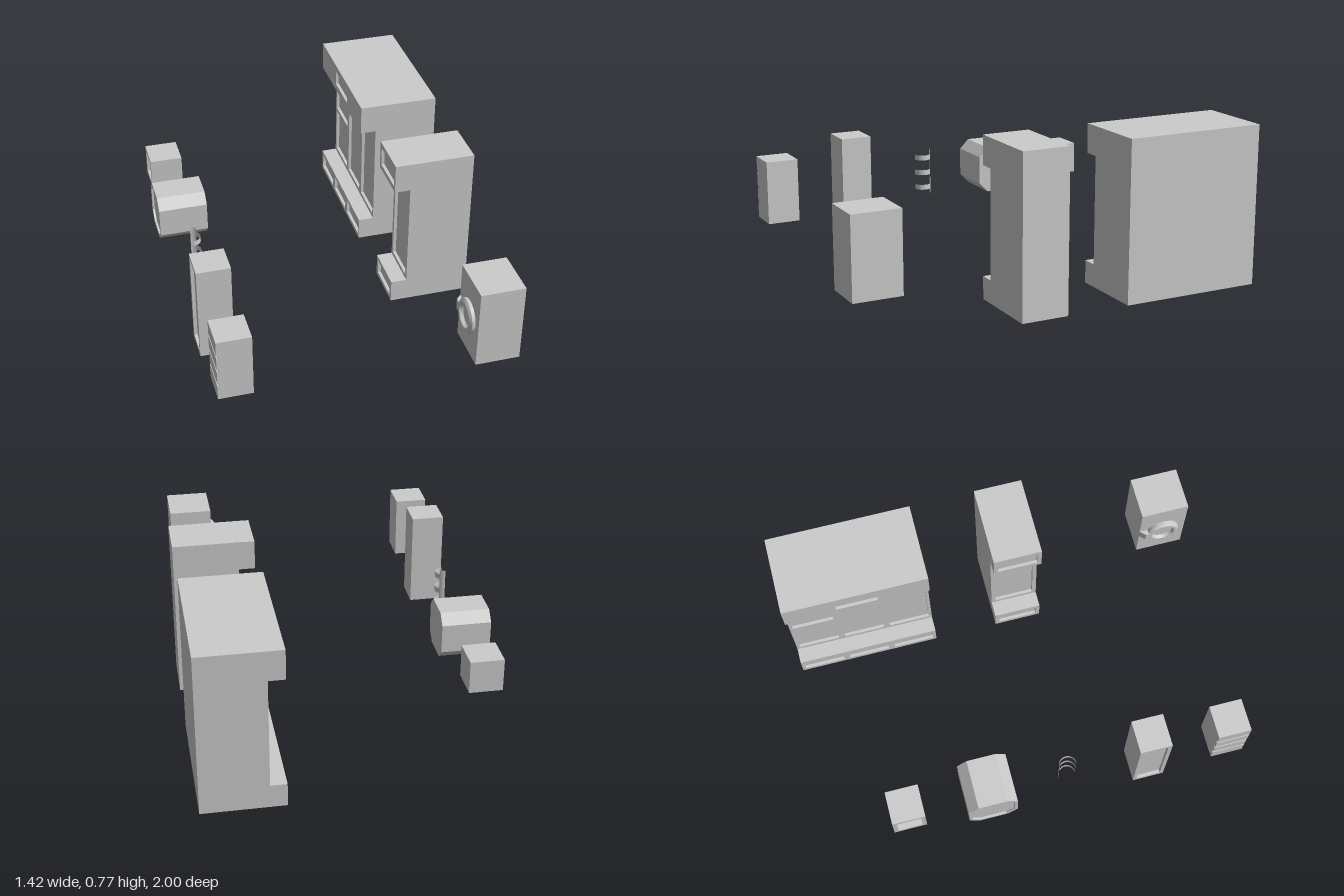
import * as THREE from 'three';

const mat = new THREE.MeshStandardMaterial({ color: 0xcccccc, side: THREE.DoubleSide });

function add(parent, name, geometry) {
  const mesh = new THREE.Mesh(geometry, mat);
  mesh.name = name;
  parent.add(mesh);
  return mesh;
}

function group(parent, name) {
  const g = new THREE.Group();
  g.name = name;
  parent.add(g);
  return g;
}

// Box given by its limits
function box(parent, name, x0, x1, y0, y1, z0, z1) {
  const g = new THREE.BoxGeometry(x1 - x0, y1 - y0, z1 - z0);
  g.translate((x0 + x1) / 2, (y0 + y1) / 2, (z0 + z1) / 2);
  return add(parent, name, g);
}

function polygon(points) {
  return new THREE.Shape(points.map(([a, b]) => new THREE.Vector2(a, b)));
}

const rect = (z0, z1, y0, y1) => [[z0, y0], [z1, y0], [z1, y1], [z0, y1]];

// Extrude a (z, y) outline along x from x0 to x1, with holes
function slab(parent, name, x0, x1, outline, holes = []) {
  const shape = polygon(outline);
  for (const h of holes) shape.holes.push(polygon(h.slice().reverse()));
  const g = new THREE.ExtrudeGeometry(shape, { depth: x1 - x0, bevelEnabled: false });
  g.rotateY(-Math.PI / 2);
  g.translate(x1, 0, 0);
  return add(parent, name, g);
}

// Block whose -x face carries recessed panels
function panelled(parent, name, [x0, x1, y0, y1, z0, z1], panels, depth = 0.015) {
  box(parent, name + 'Body', x0 + depth, x1, y0, y1, z0, z1);
  slab(parent, name + 'Frame', x0, x0 + depth, rect(z0, z1, y0, y1), panels);
}

// Tall cabinet: recessed middle between a projecting top and base
function tallCabinet(parent, name, z0, z1, top, middle, base) {
  const g = group(parent, name);
  panelled(g, 'base', [0.33, 0.71, 0, 0.11, z0, z1], base);
  panelled(g, 'middle', [0.405, 0.71, 0.11, 0.63, z0, z1], middle);
  panelled(g, 'top', [0.33, 0.71, 0.63, 0.77, z0, z1], top);
}

export function createModel() {
  const model = new THREE.Group();
  model.name = 'furnitureSet';

  // Wide cabinet: shelves and two doors above three drawers
  const third = 0.69 / 3, m = 0.015;
  const col = (i, y0, y1) => rect(-1 + i * third + m, -1 + (i + 1) * third - m, y0, y1);
  tallCabinet(model, 'wideCabinet', -1, -0.31,
    [col(1, 0.665, 0.735)],
    [col(0, 0.13, 0.36), col(0, 0.38, 0.49), col(0, 0.51, 0.61), col(1, 0.13, 0.61), col(2, 0.13, 0.61)],
    [0, 1, 2].map((i) => col(i, 0.02, 0.09)));

  // Narrow cabinet
  const narrow = (y0, y1) => [rect(0.02, 0.21, y0, y1)];
  tallCabinet(model, 'narrowCabinet', 0, 0.23,
    narrow(0.655, 0.745), narrow(0.13, 0.61), narrow(0.02, 0.09));

  // Box with a round door and a side latch
  const washer = group(model, 'roundDoorBox');
  box(washer, 'body', 0.465, 0.67, 0.2, 0.58, 0.77, 1);
  const profile = [[0.08, 0], [0.08, 0.015], [0.07, 0.025], [0.056, 0.025], [0.05, 0.008], [0, 0.008]];
  const ringParts = profile.slice(1).map((p, i) => [profile[i], p]);
  for (const part of ringParts) {
    const g = new THREE.LatheGeometry(part.map(([r, h]) => new THREE.Vector2(r, h)), 32);
    g.rotateZ(Math.PI / 2);
    g.translate(0.465, 0.39, 0.885);
    add(washer, 'roundDoor', g);
  }
  const latch = new THREE.ExtrudeGeometry(
    polygon([[0.465, -0.77], [0.44, -0.795], [0.44, -0.825], [0.465, -0.825]]),
    { depth: 0.05, bevelEnabled: false });
  latch.rotateX(-Math.PI / 2);
  latch.translate(0, 0.365, 0);
  add(washer, 'latch', latch);

  // Drawer box: four fronts divided by rounded finger grooves
  const drawers = new THREE.Shape();
  drawers.moveTo(-0.52, 0.235);
  drawers.lineTo(-0.52, 0.54);
  drawers.lineTo(-0.675, 0.54);
  for (const y of [0.464, 0.3875, 0.311]) {
    drawers.lineTo(-0.675, y + 0.007);
    drawers.absarc(-0.672, y, 0.007, Math.PI / 2, -Math.PI / 2, true);
    drawers.lineTo(-0.675, y - 0.007);
  }
  drawers.lineTo(-0.675, 0.235);
  const drawerGeo = new THREE.ExtrudeGeometry(drawers, { depth: 0.155, bevelEnabled: false, curveSegments: 8 });
  drawerGeo.translate(0, 0, 0.805);
  add(model, 'drawerBox', drawerGeo);

  // Upright box with one door
  panelled(group(model, 'doorBox'), 'door', [-0.675, -0.52, 0.155, 0.615, 0.425, 0.575],
    [rect(0.443, 0.557, 0.175, 0.595)]);

  // Curved comb: upright strip with three bent arms
  const comb = group(model, 'curvedComb');
  const band = (name, y, height, start, length) => {
    const g = new THREE.CylinderGeometry(0.04, 0.04, height, 16, 1, true, start, length);
    g.translate(-0.605, y, 0.11);
    add(comb, name, g);
  };
  band('strip', 0.387, 0.225, Math.PI * 0.78, Math.PI * 0.22);
  for (const y of [0.311, 0.3875, 0.464]) band('arm', y, 0.026, 0, Math.PI);

  // Eight-sided block with a shallow recessed face
  const octagon = (s, c) => [[-s, -c], [-c, -s], [c, -s], [s, -c], [s, c], [c, s], [-c, s], [-s, c]]
    .map(([z, y]) => [z - 0.27, y + 0.387]);
  const block = group(model, 'octagonBlock');
  slab(block, 'body', -0.7, -0.48, octagon(0.115, 0.069));
  slab(block, 'rim', -0.71, -0.7, octagon(0.115, 0.069), [octagon(0.1, 0.061)]);

  // Open cube
  panelled(group(model, 'openCube'), 'cube', [-0.675, -0.52, 0.31, 0.465, -0.735, -0.58],
    [rect(-0.715, -0.6, 0.33, 0.445)], 0.09);

  return model;
}
